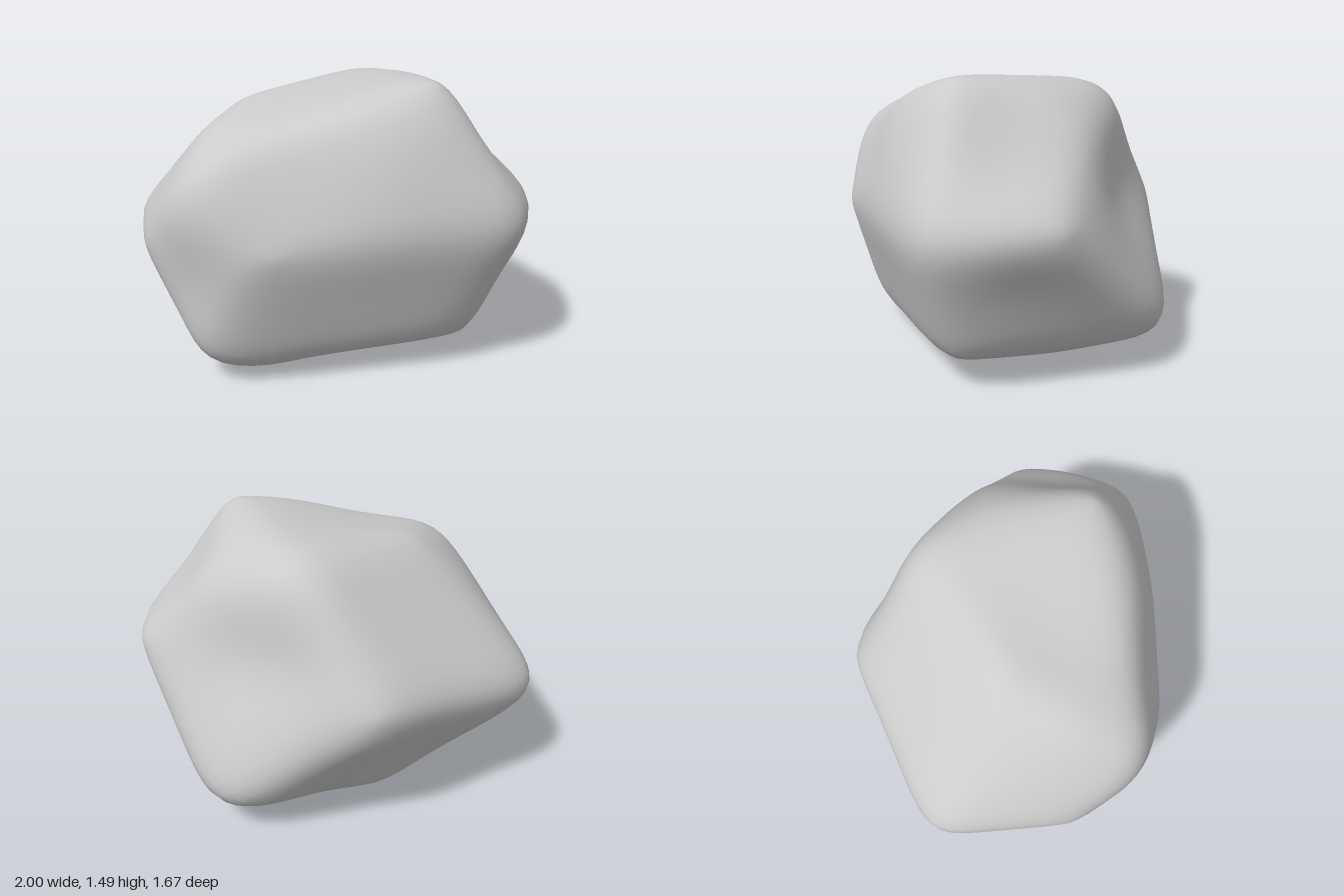
import * as THREE from 'three';
import { mergeVertices } from 'three/addons/utils/BufferGeometryUtils.js';

// Rounded corners of a twelve-sided boulder, as points on its surface
const corners = {
  topFront: [0.39, 1.462, 0.48], topBack: [0.36, 1.38, -0.37],
  topLeftBack: [-0.42, 1.335, -0.1], topLeftFront: [-0.68, 1.16, 0.46],
  midFrontRight: [0.67, 0.82, 0.81], midRight: [0.99, 0.86, 0.23],
  midBack: [0.08, 0.78, -0.82], midLeftBack: [-0.87, 0.64, -0.58],
  midLeft: [-0.985, 0.68, 0.12], midFrontLeft: [-0.48, 0.74, 0.71],
  lowRight: [0.76, 0.21, -0.46], lowFront: [0.55, 0.165, 0.57],
  lowLeft: [-0.7, 0.13, 0.44], lowBack: [-0.3, 0.015, -0.23],
};

// Four corners in order around each side
const sides = [
  ['midRight', 'midFrontRight', 'topFront', 'topBack'],
  ['midRight', 'topBack', 'midBack', 'lowRight'],
  ['midRight', 'lowRight', 'lowFront', 'midFrontRight'],
  ['topFront', 'midFrontRight', 'midFrontLeft', 'topLeftFront'],
  ['midFrontRight', 'lowFront', 'lowLeft', 'midFrontLeft'],
  ['topBack', 'topLeftBack', 'midLeftBack', 'midBack'],
  ['midBack', 'midLeftBack', 'lowBack', 'lowRight'],
  ['lowRight', 'lowBack', 'lowLeft', 'lowFront'],
  ['topFront', 'topBack', 'topLeftBack', 'topLeftFront'],
  ['topLeftFront', 'topLeftBack', 'midLeftBack', 'midLeft'],
  ['midLeft', 'midLeftBack', 'lowBack', 'lowLeft'],
  ['midFrontLeft', 'lowLeft', 'midLeft', 'topLeftFront'],
];

// Gentle swells and dents: centre, push, radius
const swells = [
  [[-0.8, 0.88, 0.42], [-0.05, 0.01, 0.045], 0.28],  // front left flank
  [[0.1, 1.2, 0.66], [0, 0.03, 0.06], 0.42],         // upper front
  [[0.6, 1.26, 0.05], [0.05, 0.03, 0], 0.28],        // upper right ridge
  [[0.86, 0.84, 0.53], [0.03, 0, 0.025], 0.25],      // right front ridge
  [[-0.62, 1.22, 0.18], [-0.03, 0.03, 0], 0.25],     // upper left ridge
  [[-0.82, 1.0, 0.0], [-0.025, 0.02, 0], 0.3],       // left flank
  [[-0.1, 0.12, -0.42], [0, -0.02, -0.035], 0.22],   // lower back ridge
  [[0.05, 0.6, -0.75], [0, 0, -0.025], 0.22],        // middle of the back
  [[-0.45, 0.06, 0.3], [0, -0.025, 0], 0.22],        // underside, left
  [[0.45, 0.12, 0.05], [0, -0.025, 0], 0.27],        // underside, right
  [[0.62, 0.9, -0.34], [-0.025, 0, 0.025], 0.25],    // hollow at the right back
  [[0.4, 0.92, -0.54], [-0.015, 0, 0.015], 0.22],    // hollow at the back
];

const N = 14;      // grid cells along each side
const PASSES = 11; // rounding of edges and corners

// A grid over every side, welded along the shared edges
function facetedGeometry(cage) {
  const positions = [], index = [];
  const middle = new THREE.Vector3(0, 0.75, 0);
  for (const side of sides) {
    let [a, b, c, d] = side.map((name) => cage[name]);
    const normal = c.clone().sub(a).cross(d.clone().sub(b));
    const outward = a.clone().add(b).add(c).add(d).multiplyScalar(0.25).sub(middle);
    if (normal.dot(outward) < 0) [b, d] = [d, b];
    const start = positions.length / 3;
    for (let j = 0; j <= N; j++) {
      for (let i = 0; i <= N; i++) {
        const near = a.clone().lerp(b, i / N), far = d.clone().lerp(c, i / N);
        positions.push(...near.lerp(far, j / N).toArray());
        if (i < N && j < N) {
          const p = start + j * (N + 1) + i, q = p + N + 1;
          index.push(p, p + 1, q + 1, p, q + 1, q);
        }
      }
    }
  }
  const geometry = new THREE.BufferGeometry();
  geometry.setAttribute('position', new THREE.Float32BufferAttribute(positions, 3));
  geometry.setIndex(index);
  return mergeVertices(geometry, 1e-4);
}

// Wear the edges down by averaging each point with its grid neighbours
function wear(geometry) {
  const position = geometry.attributes.position, index = geometry.index.array;
  const neighbours = Array.from({ length: position.count }, () => new Set());
  const link = (a, b) => { neighbours[a].add(b); neighbours[b].add(a); };
  for (let k = 0; k < index.length; k += 6) {
    const [p, r, s, , , q] = index.slice(k, k + 6);
    link(p, r); link(r, s); link(s, q); link(q, p);
  }
  for (let pass = 0; pass < PASSES; pass++) {
    const old = position.array.slice();
    neighbours.forEach((set, v) => {
      for (let axis = 0; axis < 3; axis++) {
        let sum = 0;
        for (const n of set) sum += old[n * 3 + axis];
        position.array[v * 3 + axis] = 0.2 * old[v * 3 + axis] + 0.8 * sum / set.size;
      }
    });
  }
}

// Index of the vertex nearest to a point
function nearest(position, point) {
  const v = new THREE.Vector3();
  let best = 0, least = Infinity;
  for (let i = 0; i < position.count; i++) {
    const distance = v.fromBufferAttribute(position, i).distanceToSquared(point);
    if (distance < least) { least = distance; best = i; }
  }
  return best;
}

// Sharp cage whose corners, once worn, land on the listed points
function wornGeometry() {
  const names = Object.keys(corners), cage = {};
  for (const name of names) cage[name] = new THREE.Vector3(...corners[name]);
  for (let round = 0; round < 4; round++) {
    const geometry = facetedGeometry(cage), position = geometry.attributes.position;
    const ids = names.map((name) => nearest(position, cage[name]));
    wear(geometry);
    names.forEach((name, k) => {
      const worn = new THREE.Vector3().fromBufferAttribute(position, ids[k]);
      cage[name].add(new THREE.Vector3(...corners[name]).sub(worn));
    });
  }
  const geometry = facetedGeometry(cage);
  wear(geometry);
  return geometry;
}

// Push the surface near each swell
function swell(geometry) {
  const position = geometry.attributes.position, v = new THREE.Vector3();
  for (let i = 0; i < position.count; i++) {
    v.fromBufferAttribute(position, i);
    const moved = v.clone();
    for (const [centre, push, radius] of swells) {
      const distance = v.distanceTo(new THREE.Vector3(...centre)) / radius;
      moved.addScaledVector(new THREE.Vector3(...push), Math.exp(-distance * distance));
    }
    position.setXYZ(i, ...moved.toArray());
  }
}

export function createModel() {
  const group = new THREE.Group();
  group.name = 'boulder';
  const geometry = wornGeometry();
  swell(geometry);
  geometry.computeVertexNormals();
  const rock = new THREE.Mesh(geometry, new THREE.MeshStandardMaterial({ color: 0xcccccc }));
  rock.name = 'rock';
  group.add(rock);
  return group;
}
